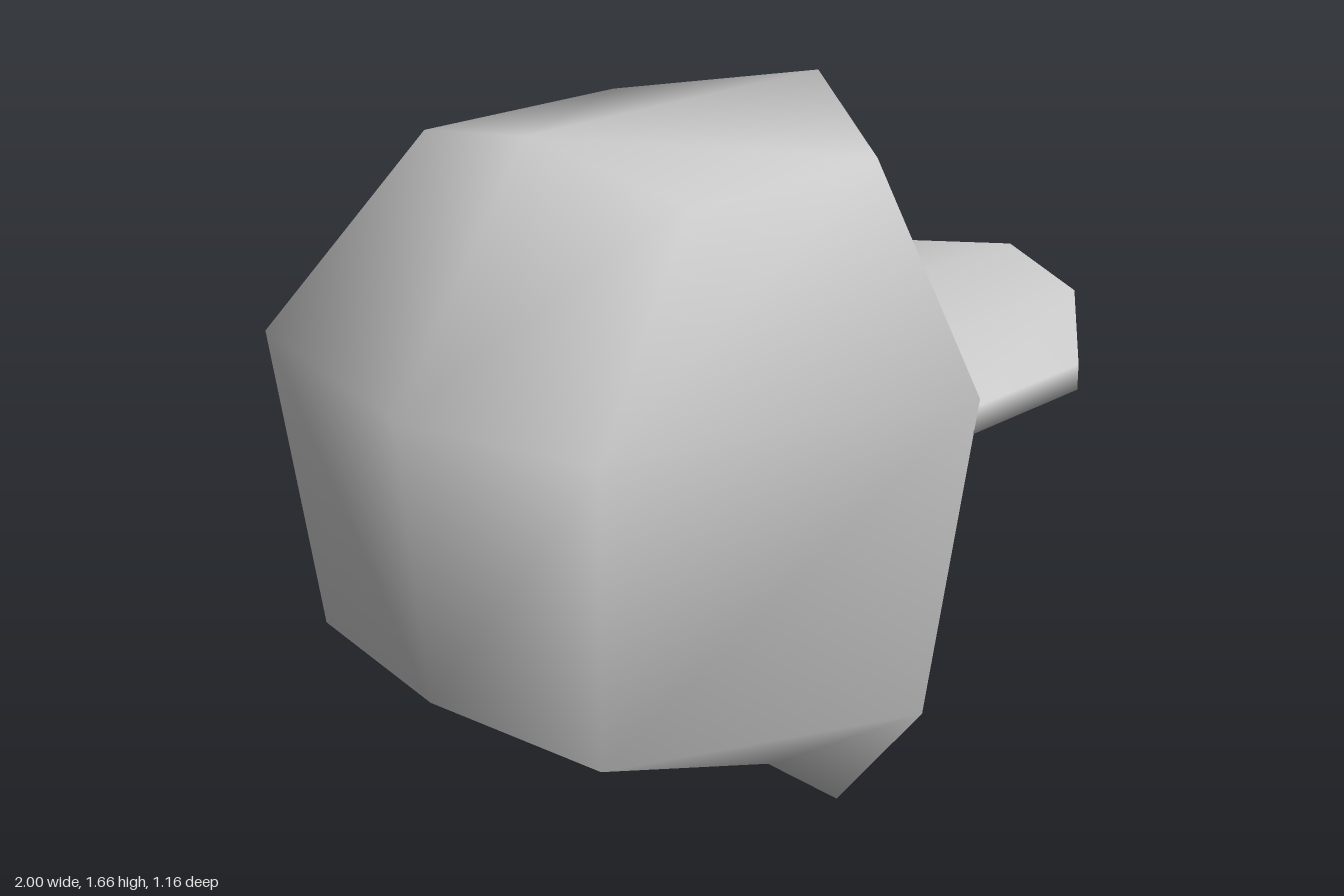
import * as THREE from 'three';

const material = new THREE.MeshStandardMaterial({ color: 0xcccccc });

function buildMesh(name, points, faces) {
  const geometry = new THREE.BufferGeometry();
  geometry.setAttribute('position', new THREE.Float32BufferAttribute(points.flat(), 3));
  geometry.setIndex(faces.flat());
  geometry.computeVertexNormals();
  const mesh = new THREE.Mesh(geometry, material);
  mesh.name = name;
  return mesh;
}

// Head: a centre outline and a side outline, bridged and mirrored across z = 0
function createHead() {
  const centre = [
    [-0.62, 1.66], [0.27, 1.66], [0.46, 0.88], [0.46, 0],
    [-0.06, 0], [-0.29, 0.19], [-0.94, 0.42], [-1, 1.11],
  ];
  const side = [
    [-0.56, 1.58, 0.44], [0.01, 1.58, 0.44], [0.22, 1.0, 0.58], [0.24, 0.12, 0.415],
    [-0.06, 0, 0.415], [-0.3, 0.2, 0.445], [-0.87, 0.42, 0.5], [-0.93, 1.15, 0.58],
  ];
  // triangles that fill the side outline
  const cheek = [[7, 2, 1], [7, 1, 0], [6, 3, 2], [6, 2, 7], [6, 5, 3], [5, 4, 3]];
  const n = centre.length;
  const points = [
    ...centre.map(([x, y]) => [x, y, 0]),
    ...side,
    ...side.map(([x, y, z]) => [x, y, -z]),
  ];
  const faces = [];
  for (const mirrored of [false, true]) {
    const s = mirrored ? 2 * n : n;
    const add = (a, b, c) => faces.push(mirrored ? [a, c, b] : [a, b, c]);
    for (let i = 0; i < n; i++) {
      const j = (i + 1) % n;
      add(i, s + j, j);
      add(i, s + i, s + j);
    }
    cheek.forEach(([a, b, c]) => add(s + a, s + b, s + c));
  }
  return buildMesh('head', points, faces);
}

// Visor: a thin arched plate, one four-cornered section per row across z
function createVisor() {
  const thickness = 0.065;
  // rear x, front x, rear z, front z, underside y
  const half = [
    [0.22, 0.62, 0.565, 0.545, 0.91],
    [0.28, 0.9, 0.3, 0.3, 0.975],
  ];
  const rows = [
    ...half.map(([rx, fx, rz, fz, y]) => [rx, fx, -rz, -fz, y]),
    [0.34, 1, 0, 0, 1.01],
    ...half.slice().reverse(),
  ];
  const points = rows.flatMap(([rx, fx, rz, fz, y]) => [
    [rx, y, rz], [fx, y, fz], [fx, y + thickness, fz], [rx, y + thickness, rz],
  ]);
  const faces = [];
  for (let r = 0; r < rows.length - 1; r++) {
    for (let k = 0; k < 4; k++) {
      const a = r * 4 + k, b = r * 4 + (k + 1) % 4;
      faces.push([a, b, b + 4], [a, b + 4, a + 4]);
    }
  }
  // end caps
  const e = (rows.length - 1) * 4;
  faces.push([0, 2, 1], [0, 3, 2], [e, e + 1, e + 2], [e, e + 2, e + 3]);
  return buildMesh('visor', points, faces);
}

export function createModel() {
  const group = new THREE.Group();
  group.name = 'cappedHead';
  group.add(createHead(), createVisor());
  return group;
}
